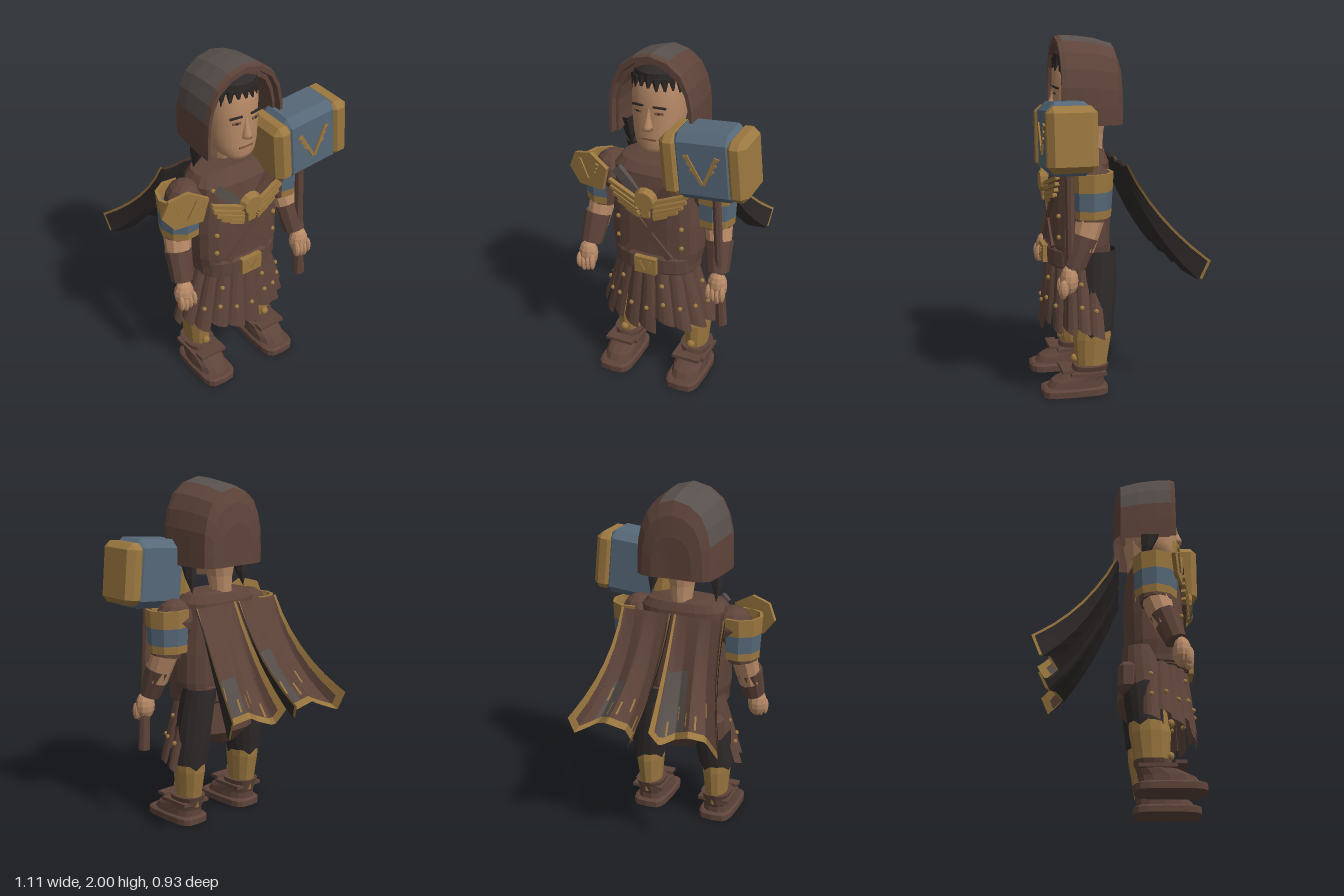
import * as THREE from 'three';
import { mergeVertices } from 'three/addons/utils/BufferGeometryUtils.js';
import { ConvexGeometry } from 'three/addons/geometries/ConvexGeometry.js';

const mat = (name, color) => new THREE.MeshStandardMaterial({ name, color, side: THREE.DoubleSide });
const brown = mat('leather brown', 0x5e443a), black = mat('charcoal', 0x2f2929), brass = mat('brass', 0x9c7840);
const steel = mat('blue steel', 0x566878), skin = mat('skin', 0xb88a67), grey = mat('worn grey', 0x58504c);
const lip = mat('dark skin', 0x80573f);
const V = (x, y, z) => new THREE.Vector3(x, y, z);
const CX = -0.05; // centre line of the body

export function createModel() {
  const root = new THREE.Group();
  root.name = 'hammerWarrior';
  const add = (name, geo, material, parent = root) => {
    const m = new THREE.Mesh(geo, material);
    m.name = name;
    parent.add(m);
    return m;
  };
  // Surface f(u, v) -> [x, y, z] with flat or smooth normals
  const grid = (f, nu, nv, u0 = 0, u1 = 1, v0 = 0, v1 = 1, smooth = false) => {
    const pos = [];
    const p = (i, j) => f(u0 + (u1 - u0) * i / nu, v0 + (v1 - v0) * j / nv);
    for (let i = 0; i < nu; i++) for (let j = 0; j < nv; j++) {
      const a = p(i, j), b = p(i + 1, j), c = p(i + 1, j + 1), d = p(i, j + 1);
      pos.push(...a, ...b, ...c, ...a, ...c, ...d);
    }
    let g = new THREE.BufferGeometry();
    g.setAttribute('position', new THREE.Float32BufferAttribute(pos, 3));
    if (smooth) g = mergeVertices(g, 1e-4);
    g.computeVertexNormals();
    return g;
  };
  // Stacked superellipse rings [y, cx, cz, hx, hz]
  const loft = (rings, n = 16, pw = 2, smooth = false) => {
    const k = rings.length - 1;
    return grid((u, v) => {
      const [y, cx, cz, hx, hz] = rings[Math.round(v * k)], a = u * Math.PI * 2;
      const e = (t) => Math.sign(t) * Math.abs(t) ** (2 / pw);
      return [cx + hx * e(Math.cos(a)), y, cz - hz * e(Math.sin(a))];
    }, n, k, 0, 1, 0, 1, smooth);
  };
  const flat = (g) => { const f = g.index ? g.toNonIndexed() : g; f.computeVertexNormals(); return f; };
  const rod = (name, a, b, r0, r1, material, parent, n = 10) => {
    const d = b.clone().sub(a);
    const m = add(name, flat(new THREE.CylinderGeometry(r1, r0, d.length(), n)), material, parent);
    m.position.copy(a).addScaledVector(d, 0.5);
    m.quaternion.setFromUnitVectors(V(0, 1, 0), d.normalize());
    return m;
  };
  const ball = (name, x, y, z, sx, sy, sz, material, parent) => {
    const m = add(name, flat(new THREE.SphereGeometry(1, 10, 8)), material, parent);
    m.position.set(x, y, z);
    m.scale.set(sx, sy, sz);
    return m;
  };
  const box = (name, x, y, z, w, h, d, material, parent, rz = 0, ry = 0) => {
    const m = add(name, new THREE.BoxGeometry(w, h, d), material, parent);
    m.position.set(x, y, z);
    m.rotation.set(0, ry, rz);
    return m;
  };
  const chamferBox = (w, h, d, c) => {
    const pts = [], [x, y, z] = [w / 2, h / 2, d / 2];
    for (const a of [-1, 1]) for (const b of [-1, 1]) for (const e of [-1, 1])
      pts.push(V(a * x, b * (y - c), e * (z - c)), V(a * (x - c), b * y, e * (z - c)), V(a * (x - c), b * (y - c), e * z));
    return new ConvexGeometry(pts);
  };
  // Raised chevron ornament with small barbs
  const chevron = (parent, x, y, z, s) => {
    for (const m of [-1, 1]) {
      box('chevronArm', x + m * s * 0.48, y, z, s * 0.18, s * 2, 0.009, brass, parent, -m * 0.45);
      for (const k of [-0.1, 0.3, 0.7]) box('chevronBarb', x + m * s * (0.6 + k * 0.45), y + s * k, z, s * 0.45, s * 0.14, 0.009, brass, parent, m * 0.7);
    }
  };

  // Torso, belt and pelvis
  add('torso', loft([[.72, CX, .2, 0, 0], [.72, CX, .2, .24, .17], [.85, CX, .195, .265, .17], [1.02, CX, .19, .265, .17],
    [1.2, CX, .185, .25, .165], [1.31, CX, .18, .255, .15], [1.355, CX, .17, .22, .12], [1.37, CX, .16, .14, .09], [1.37, CX, .16, 0, 0]], 20, 2.8), brown);
  add('belt', loft([[.72, CX, .2, .235, .17], [.735, CX, .2, .25, .185], [.82, CX, .2, .25, .185], [.84, CX, .2, .235, .17]], 20, 2.6), brown);
  add('pelvis', loft([[.46, CX, .13, 0, 0], [.47, CX, .13, .1, .09], [.55, CX, .12, .21, .14], [.73, CX, .15, .23, .16]], 16, 2.4), brown);
  const buckle = box('buckle', CX, .78, .39, .13, .1, .03, brass);
  chevron(buckle, 0, 0, .017, .033);
  const pouch = add('pouch', chamferBox(.12, .17, .11, .03), brown);
  pouch.position.set(-.28, .63, .04);

  // Crossed straps and winged medallion
  for (const s of [-1, 1]) {
    box('waistStrap', CX, .98, .358, .04, .4, .025, brown, root, s * .73);
    box('shoulderStrap', CX + s * .12, 1.255, .343, .055, .2, .03, s < 0 ? grey : brown, root, -s * .75);
  }
  const disc = add('medallion', flat(new THREE.CylinderGeometry(.055, .07, .04, 12)), brass);
  disc.position.set(CX, 1.19, .39);
  disc.rotation.x = Math.PI / 2;
  box('medallionTail', CX, 1.115, .385, .05, .06, .02, brass);
  for (const s of [-1, 1]) {
    [[.2, 1.215, .14], [.19, 1.18, .135], [.17, 1.147, .125], [.14, 1.117, .11], [.09, 1.095, .085]].forEach(([w, y, d]) =>
      box('medallionWing', CX + s * d, y, .366, w, .02, .025, brass, root, s * .32, s * .2));
    for (const y of [.9, 1.02, 1.3]) ball('torsoStud', CX + s * .19, y, y > 1.2 ? .3 : .335, .014, .014, .014, brass);
  }

  // Pleated skirt with studs
  const hem = [.35, .38, .34, .37, .34, .33, .39, .35, .36, .37, .34];
  hem.forEach((low, i) => {
    const step = 3.4 / hem.length, a0 = -1.7 + i * step;
    const f = (u, v) => {
      const a = a0 + u * step * 1.08, bulge = .015 * Math.sin(Math.PI * u) + .02 * u * v;
      const y = .75 + (low + .04 * (1 - u) - .75) * v;
      return [CX + Math.sin(a) * (.235 + .105 * v + bulge), y, .15 + Math.cos(a) * (.215 + .03 * v + bulge)];
    };
    add('skirtPleat', grid(f, 4, 3), brown);
    for (const v of [.3, .64]) if (v > .5 || i % 3 === 0) ball('skirtStud', ...f(.5, v), .014, .014, .014, brass);
  });

  // Legs and shoes
  for (const s of [-1, 1]) {
    const x = CX + s * .215, leg = new THREE.Group();
    leg.name = s > 0 ? 'leftLeg' : 'rightLeg';
    root.add(leg);
    const thigh = (u, v) => {
      const a = u * Math.PI * 2, r = .1 + .012 * Math.sin(v * 3);
      const y = .82 - v * (.44 + (Math.round(u * 16) % 4 === 1 ? .04 : .01));
      return [x - s * .05 * (1 - v) + Math.cos(a) * r, y, .11 + .03 * v + Math.sin(a) * r];
    };
    add('hip', grid(thigh, 16, 3, 0, 1, 0, .5), s > 0 ? black : brown, leg);
    add('shorts', grid(thigh, 16, 3, 0, 1, .5, 1), black, leg);
    add('greave', loft([[.1, x, .16, .06, .08], [.2, x, .16, .068, .095], [.32, x, .155, .08, .11], [.44, x, .145, .083, .1]], 12), brass, leg);
    ball('greaveStud', x, .2, .26, .024, .024, .02, brass, leg);
    ball('kneeStud', x, .38, .265, .024, .024, .02, brass, leg);
    add('sole', loft([[0, x, .26, 0, 0], [0, x, .26, .103, .19], [.035, x, .26, .103, .19], [.045, x, .26, .09, .175], [.045, x, .26, 0, 0]], 16, 4), brown, leg);
    add('shoe', loft([[.04, x, .255, .092, .165], [.08, x, .24, .088, .15], [.11, x, .2, .085, .12], [.13, x, .175, .078, .1], [.165, x, .165, .09, .1], [.165, x, .165, 0, 0]], 14, 2.6), brown, leg);
    box('shoeStrap', x, .145, .31, .17, .018, .06, brown, leg);
    box('ankleBand', x, .125, .19, .19, .02, .2, brown, leg);
  }

  // Arms with striped armour bands open on the inside
  for (const s of [-1, 1]) {
    const P = (d, y, z) => V(CX + s * d, y, z), arm = new THREE.Group();
    arm.name = s > 0 ? 'leftArm' : 'rightArm';
    root.add(arm);
    ball('shoulder', CX + s * .29, 1.22, .18, .11, .12, .115, brown, arm);
    rod('sleeve', P(.325, 1.2, .18), P(.35, 1.02, .19), .095, .088, brown, arm);
    rod('elbow', P(.35, 1.06, .185), P(.378, .87, .245), .08, .066, skin, arm);
    rod('bracer', P(.372, .945, .23), P(.39, .78, .29), .079, .062, brown, arm);
    ball('hand', CX + s * .4, .71, .32, .058, .085, .05, skin, arm);
    for (let i = 0; i < 4; i++) ball('finger', CX + s * (.36 + i * .027), .675 - (i % 3) * .008, .355, .017, .05, .026, skin, arm);
    const r = (y) => .13 - (1.29 - y) * .06, arc = Math.PI * 1.28;
    for (const [y0, y1, m] of [[1.29, 1.19, brass], [1.19, 1.09, steel], [1.09, 1.045, brass]]) {
      const band = add('armBand', flat(new THREE.CylinderGeometry(r(y0), r(y1), y0 - y1, 6, 1, true, Math.PI * s * .5 - arc / 2, arc)), m, arm);
      band.position.set(CX + s * .33, (y0 + y1) / 2, .19);
    }
    const rim = add('armBandRim', new THREE.RingGeometry(.112, .131, 6, 1, (s > 0 ? 0 : Math.PI) - arc / 2, arc), brass, arm);
    rim.position.set(CX + s * .33, 1.29, .19);
    rim.rotation.x = -Math.PI / 2;
  }

  // Hexagonal shoulder plate on the right arm
  const hex = new THREE.Shape([[-.14, -.01], [-.1, .085], [.01, .115], [.125, .05], [.09, -.09], [-.07, -.1]].map(([x, y]) => new THREE.Vector2(x, y)));
  const plate = add('shoulderPlate', new THREE.ExtrudeGeometry(hex, { depth: .022, bevelEnabled: false }), brass);
  plate.position.set(-.415, 1.255, .3);
  plate.rotation.y = -.22;
  chevron(plate, 0, .005, .027, .065);

  // Head and face
  add('head', loft([[1.44, CX, .25, 0, 0], [1.445, CX, .25, .065, .07], [1.48, CX, .22, .108, .112], [1.54, CX, .195, .13, .137],
    [1.62, CX, .18, .14, .152], [1.7, CX, .18, .142, .15], [1.8, CX, .18, .14, .15], [1.88, CX, .17, .12, .13], [1.93, CX, .17, 0, 0]], 24, 2.2, true), skin);
  add('neck', loft([[1.36, CX, .11, .06, .065], [1.45, CX, .12, .07, .08], [1.56, CX, .13, .1, .11]], 12), skin);
  add('nose', loft([[1.585, CX, .33, 0, 0], [1.59, CX, .335, .028, .03], [1.61, CX, .335, .026, .03], [1.66, CX, .325, .014, .018], [1.71, CX, .32, .01, .012]], 10, 2, true), skin);
  box('mouth', CX, 1.53, .33, .085, .01, .008, lip);
  for (const s of [-1, 1]) {
    box('eyebrow', CX + s * .062, 1.718, .322, .07, .01, .01, black, root, -s * .1, s * .25);
    box('eye', CX + s * .06, 1.685, .324, .048, .012, .008, lip, root, 0, s * .25);
    box('pupil', CX + s * .06, 1.685, .327, .014, .01, .008, black, root, 0, s * .25);
  }
  add('hair', loft([[1.85, CX, .165, .146, .16], [1.9, CX, .165, .14, .16], [1.945, CX, .165, .08, .1], [1.95, CX, .165, 0, 0]], 16), black);
  for (let i = 0; i < 11; i++) {
    const a = -1.5 + i * .3, len = .03 + (i * 5 % 4) * .012 + Math.abs(a) * .03;
    rod('hairStrand', V(CX + Math.sin(a) * .144, 1.86 - len, .17 + Math.cos(a) * .152), V(CX + Math.sin(a) * .13, 1.87, .17 + Math.cos(a) * .14), .008, .024, black, root, 6);
  }

  // Hood: an arch swept from the rim to a rounded back
  const half = [[1, 1.52], [1, 1.62], [.98, 1.73], [.89, 1.83], [.72, 1.915], [.4, 1.975], [0, 2]];
  const arch = [...half, ...half.slice(0, -1).reverse().map(([x, y]) => [-x, y])];
  const hoodPart = (name, i0, i1, stations, m) => add(name, grid((u, v) => {
    const [ax, ay] = arch[Math.round(u)], [z, sc] = stations[Math.round(v)];
    return [-.045 + ax * .242 * sc, 1.52 + (ay - 1.52) * sc, z];
  }, i1 - i0, stations.length - 1, i0, i1, 0, stations.length - 1), m);
  const shell = [[.29, 1], [.2, .99], [.1, .96], [0, .9]];
  hoodPart('hoodLeftSide', 0, 5, shell, brown);
  hoodPart('hoodTop', 5, 10, shell, grey);
  hoodPart('hoodRightSide', 10, 12, shell, brown);
  hoodPart('hoodBack', 0, 12, [[0, .9], [-.03, .74], [-.042, .5], [-.035, 0]], brown);
  hoodPart('hoodRim', 0, 12, [[.29, 1], [.318, .985], [.318, .92], [.28, .9]], brown);
  hoodPart('hoodLining', 0, 12, [[.28, .9], [.28, .84], [.1, .82], [.02, .78]], brown);
  for (const s of [-1, 1])
    add('hoodFlap', loft([[1.36, CX + s * .2, .13, 0, 0], [1.45, CX + s * .195, .15, .03, .035], [1.58, CX + s * .19, .18, .04, .07]], 6), black);

  // Cape: two panels with turned-up sides, folds and jagged, brass trimmed hems; [u, length, lift]
  const folds = [[0, .89, 2], [.09, .93, -.3], [.28, .85, -1], [.53, .85, .6], [.74, .83, -1], [.92, .95, -.3], [1, .89, 2.2]];
  const foldAt = (u) => {
    const i = Math.max(1, folds.findIndex(([a]) => a >= u - 1e-6)), [a, b, e] = folds[i - 1], [c, d, g] = folds[i];
    const k = (u - a) / (c - a);
    return [b + (d - b) * k, e + (g - e) * k];
  };
  for (const s of [-1, 1]) {
    const cape = new THREE.Group();
    cape.name = s > 0 ? 'capeLeftPanel' : 'capeRightPanel';
    root.add(cape);
    const f = (lift) => (u, v) => {
      const [cut, high] = foldAt(u), t = v * cut, out = (high * .045 * (.1 + t) + lift) * .7;
      const d = .01 + .3 * u + (.04 + .13 * u) * t * t;
      return [CX + s * d, 1.31 - .8 * t + .15 * t * t + out, -.02 - .3 * t - .14 * t * t - out];
    };
    const piece = (name, u0, u1, v0, v1, m, lift = 0) => add(name, grid(f(lift), 25, 6, u0, u1, v0, v1), m, cape);
    // Upper leather, lower leather split around a worn grey patch
    const [g0, g1, gv] = s < 0 ? [.05, .42, .42] : [.55, .8, .6];
    piece('capeUpper', .04, .96, 0, gv, brown);
    piece('capeInner', .04, g0, gv, .94, brown);
    piece('capeWornPatch', g0, g1, gv, .94, grey);
    piece('capeOuter', g1, .96, gv, .94, brown);
    piece('capeHemTrim', 0, 1, .94, 1, brass);
    piece('capeInnerTrim', 0, .04, 0, .94, brass);
    piece('capeOuterTrim', .96, 1, 0, .94, brass);
    piece('capeLining', 0, 1, 0, .985, black, -.014);
    for (const [u, v] of [[.3, .72], [.6, .8], [.75, .66], [.15, .82], [.45, .78]]) piece('capeFleck', u, u + .025, v, v + .12, brass, .005);
  }

  // War hammer held in the left hand
  rod('hammerShaft', V(.375, .45, .31), V(.33, 1.32, .31), .024, .026, brown, root, 8);
  rod('hammerGrip', V(.375, .45, .31), V(.365, .64, .31), .034, .03, brown, root, 8);
  const hammer = new THREE.Group();
  hammer.name = 'hammerHead';
  hammer.position.set(.305, 1.48, .325);
  hammer.rotation.z = .09;
  root.add(hammer);
  add('hammerCore', chamferBox(.36, .385, .248, .045), steel, hammer);
  for (const s of [-1, 1]) add('hammerCap', chamferBox(.115, .345, .268, .035), brass, hammer).position.x = s * .183;
  chevron(hammer, 0, 0, .128, .09);

  return root;
}
